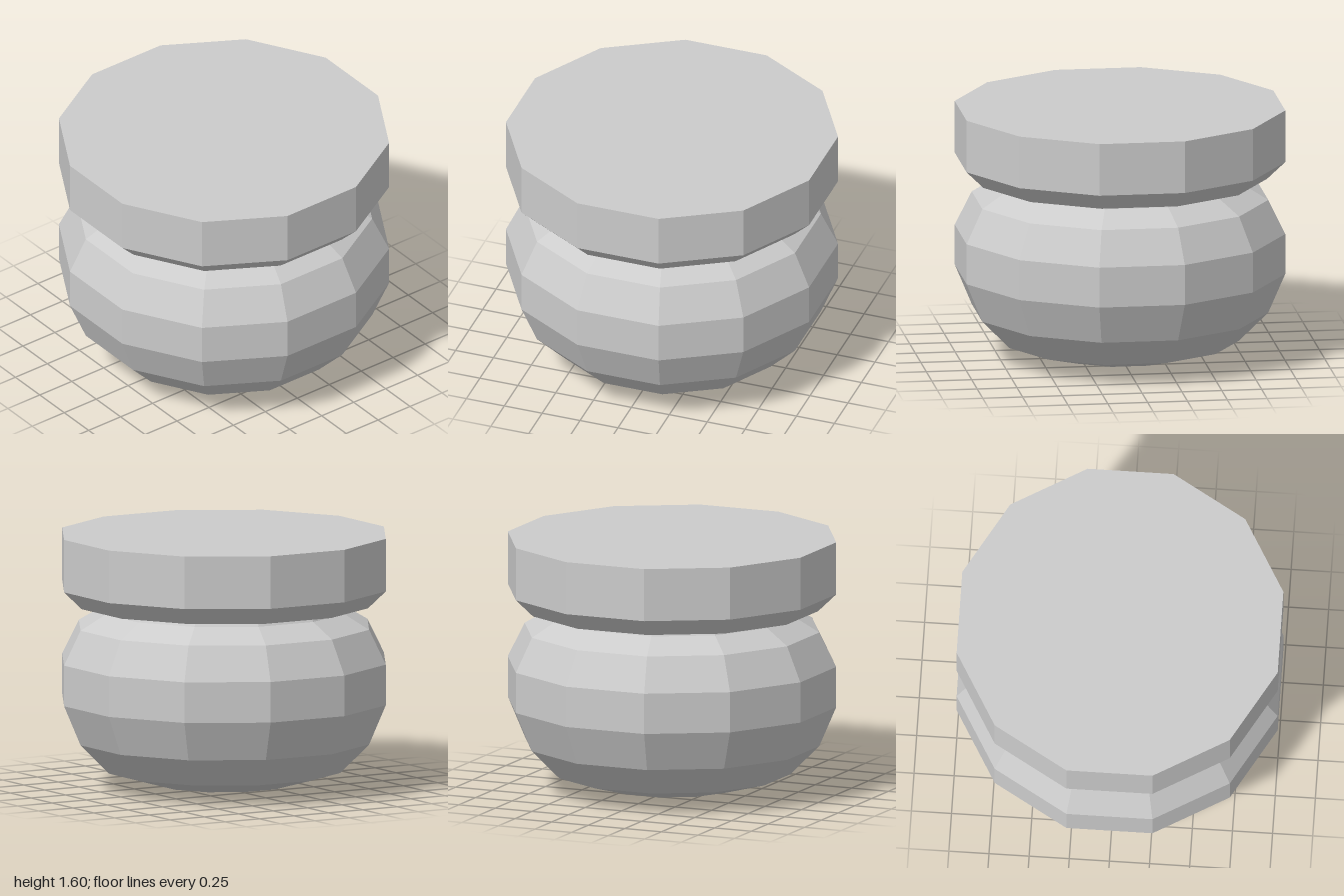
import * as THREE from 'three';

const SIDES = 12;
const TO_CORNER = 1 / Math.cos(Math.PI / SIDES); // flat half-width -> corner radius

// Faceted turned part; profile is [half-width, height] from bottom to top
function turned(name, profile) {
  const points = profile.map(([w, y]) => new THREE.Vector2(w * TO_CORNER, y));
  const geometry = new THREE.LatheGeometry(points, SIDES, Math.PI / SIDES);
  const material = new THREE.MeshStandardMaterial({ color: 0xcccccc, flatShading: true });
  const mesh = new THREE.Mesh(geometry, material);
  mesh.name = name;
  return mesh;
}

export function createModel() {
  const group = new THREE.Group();
  group.name = 'liddedJar';

  // Rounded body with a narrow neck running up to the lid
  group.add(turned('body', [
    [0, 0], [0.425, 0.035], [0.72, 0.12], [0.897, 0.305], [1, 0.555],
    [1, 0.81], [0.897, 1.025], [0.742, 1.12], [0.715, 1.165],
  ]));

  // Thick flat lid with a chamfered lower rim
  group.add(turned('lid', [
    [0, 1.16], [0.89, 1.16], [1, 1.27], [1, 1.6], [0, 1.6],
  ]));

  return group;
}
